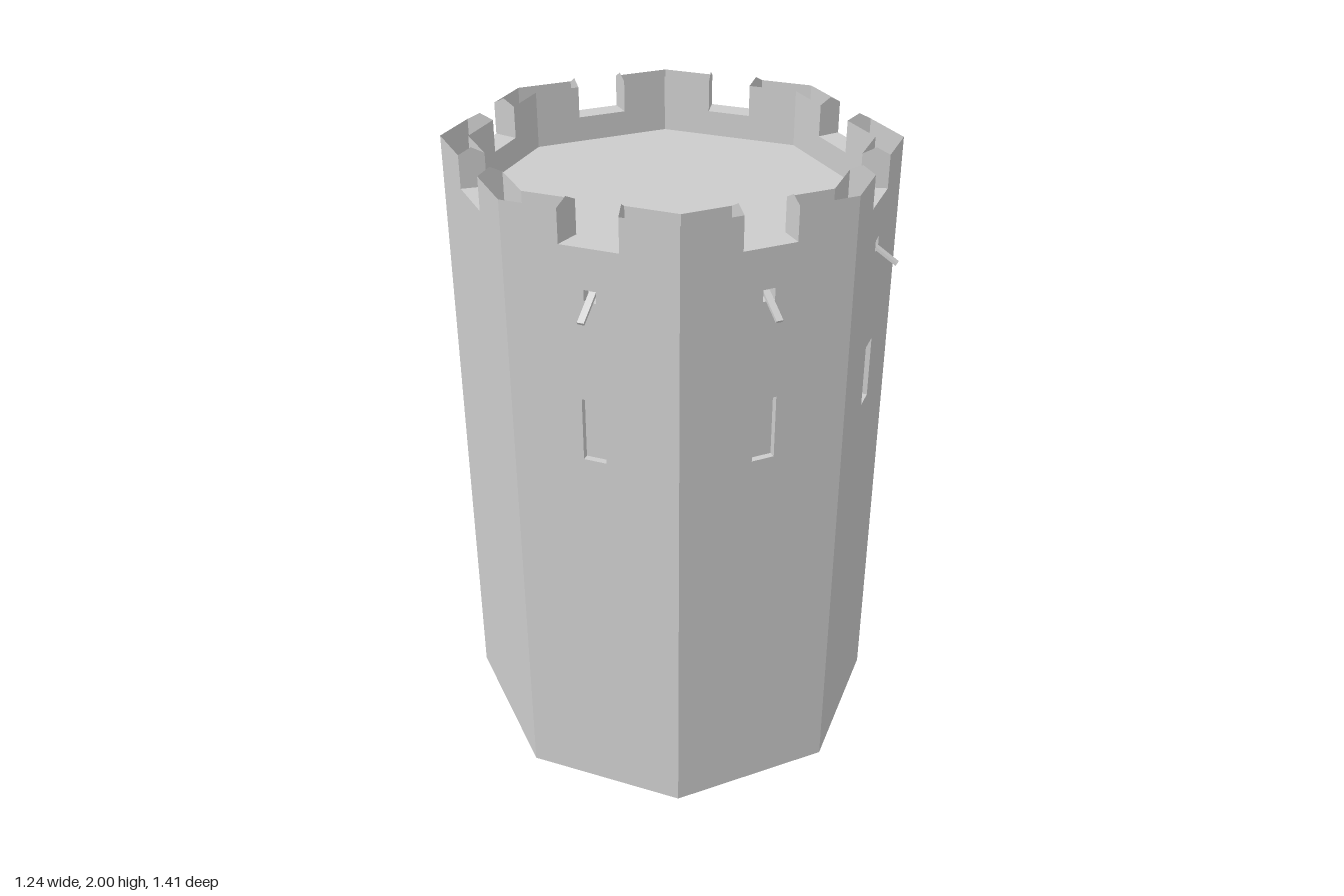
import * as THREE from 'three';
import { mergeGeometries } from 'three/addons/utils/BufferGeometryUtils.js';

const mat = new THREE.MeshStandardMaterial({ color: 0xcccccc, side: THREE.DoubleSide, flatShading: true });
const TOP = 1.98, SILL = 1.88, FLOOR = 1.8, PEAK = 2.0;

// Octagon plan from the half sizes and the half lengths of the axis-aligned sides
const octagon = (hx, hz, cx, cz) =>
  [[-cx, hz], [cx, hz], [hx, cz], [hx, -cz], [cx, -hz], [-cx, -hz], [-hx, -cz], [-hx, cz]]
    .map(([x, z]) => new THREE.Vector3(x, 0, z));
const OUTER = octagon(0.62, 0.64, 0.26, 0.28);
const INNER = octagon(0.545, 0.567, 0.225, 0.245);

function mesh(geometry, name, parent) {
  const m = new THREE.Mesh(geometry, mat);
  m.name = name;
  parent.add(m);
  return m;
}

// Flat convex polygon from corner points
function polygon(points) {
  const flat = [];
  for (let i = 1; i < points.length - 1; i++) {
    for (const p of [points[0], points[i], points[i + 1]]) flat.push(...p);
  }
  const g = new THREE.BufferGeometry();
  g.setAttribute('position', new THREE.Float32BufferAttribute(flat, 3));
  g.computeVertexNormals();
  return g;
}

// Local frame of side i: x along the wall, y up, z outward
function sideFrame(ring, i) {
  const a = ring[i], b = ring[(i + 1) % 8];
  const u = b.clone().sub(a).normalize();
  const up = new THREE.Vector3(0, 1, 0);
  const matrix = new THREE.Matrix4().makeBasis(u, up, u.clone().cross(up));
  matrix.setPosition(a.clone().add(b).multiplyScalar(0.5));
  return { matrix, half: a.distanceTo(b) / 2 };
}

// Wall panel with a notch in its top edge and rectangular holes
function wallShape(half, bottom, notch, holes = []) {
  const shape = new THREE.Shape([
    [-half, bottom], [half, bottom], [half, TOP], [notch, TOP],
    [notch, SILL], [-notch, SILL], [-notch, TOP], [-half, TOP],
  ].map(([x, y]) => new THREE.Vector2(x, y)));
  for (const { w, y0, y1 } of holes) {
    shape.holes.push(new THREE.Path([[-w, y0], [-w, y1], [w, y1], [w, y0]]
      .map(([x, y]) => new THREE.Vector2(x, y))));
  }
  return new THREE.ShapeGeometry(shape);
}

// Open-fronted box sunk into the wall
function recess({ w, y0, y1, depth }) {
  const c = [[-w, y0], [w, y0], [w, y1], [-w, y1]];
  const parts = [polygon(c.map(([x, y]) => [x, y, -depth]))];
  c.forEach(([x, y], k) => {
    const [x2, y2] = c[(k + 1) % 4];
    parts.push(polygon([[x, y, 0], [x, y, -depth], [x2, y2, -depth], [x2, y2, 0]]));
  });
  return mergeGeometries(parts);
}

export function createModel() {
  const tower = new THREE.Group();
  tower.name = 'tower';
  const slit = { w: 0.035, y0: 1.23, y1: 1.425, depth: 0.02 };
  const drain = { w: 0.018, y0: 1.725, y1: 1.76, depth: 0.03 };
  // Crenel half widths [outside, inside] for front/back, diagonal and flank walls
  const crenels = { front: [0.08, 0.08], diagonal: [0.087, 0.07], flank: [0.093, 0.083] };

  for (let i = 0; i < 8; i++) {
    const kind = i % 2 ? 'diagonal' : i % 4 ? 'flank' : 'front';
    const [wo, wi] = crenels[kind];
    const pierced = kind !== 'flank';
    const outer = sideFrame(OUTER, i), inner = sideFrame(INNER, i);

    const side = new THREE.Group();
    side.name = 'side' + (i + 1);
    side.applyMatrix4(outer.matrix);
    tower.add(side);
    mesh(wallShape(outer.half, 0, wo, pierced ? [slit, drain] : []), 'outerWall', side);

    // Arrow slit, drain hole and sloping spout
    if (pierced) {
      mesh(recess(slit), 'arrowSlit', side);
      mesh(recess(drain), 'drainHole', side);
      const spout = mesh(new THREE.BoxGeometry(0.02, 0.009, 0.1), 'spout', side);
      spout.position.set(0, 1.719, 0.021);
      spout.rotation.x = 0.57;
    }

    // Parapet lining, turned to face the roof
    const lining = wallShape(inner.half, FLOOR, wi);
    lining.rotateY(Math.PI);
    mesh(lining, 'parapetLining', tower).applyMatrix4(inner.matrix);

    // Crenel sill and its two peaked ends
    const at = (frame, x, y) => new THREE.Vector3(x, y, 0).applyMatrix4(frame.matrix);
    mesh(polygon([at(outer, -wo, SILL), at(outer, wo, SILL), at(inner, wi, SILL), at(inner, -wi, SILL)]),
      'crenelSill', tower);
    for (const s of [-1, 1]) {
      const o = at(outer, s * wo, TOP), n = at(inner, s * wi, TOP);
      const peak = o.clone().lerp(n, 0.5).setY(PEAK);
      const pts = [at(outer, s * wo, SILL), at(inner, s * wi, SILL), n, peak, o];
      mesh(polygon(s > 0 ? pts.reverse() : pts), 'crenelEnd', tower);
    }
  }

  // Roof deck inside the parapet
  mesh(polygon(INNER.map((p) => [p.x, FLOOR, p.z])), 'roofDeck', tower);
  return tower;
}
